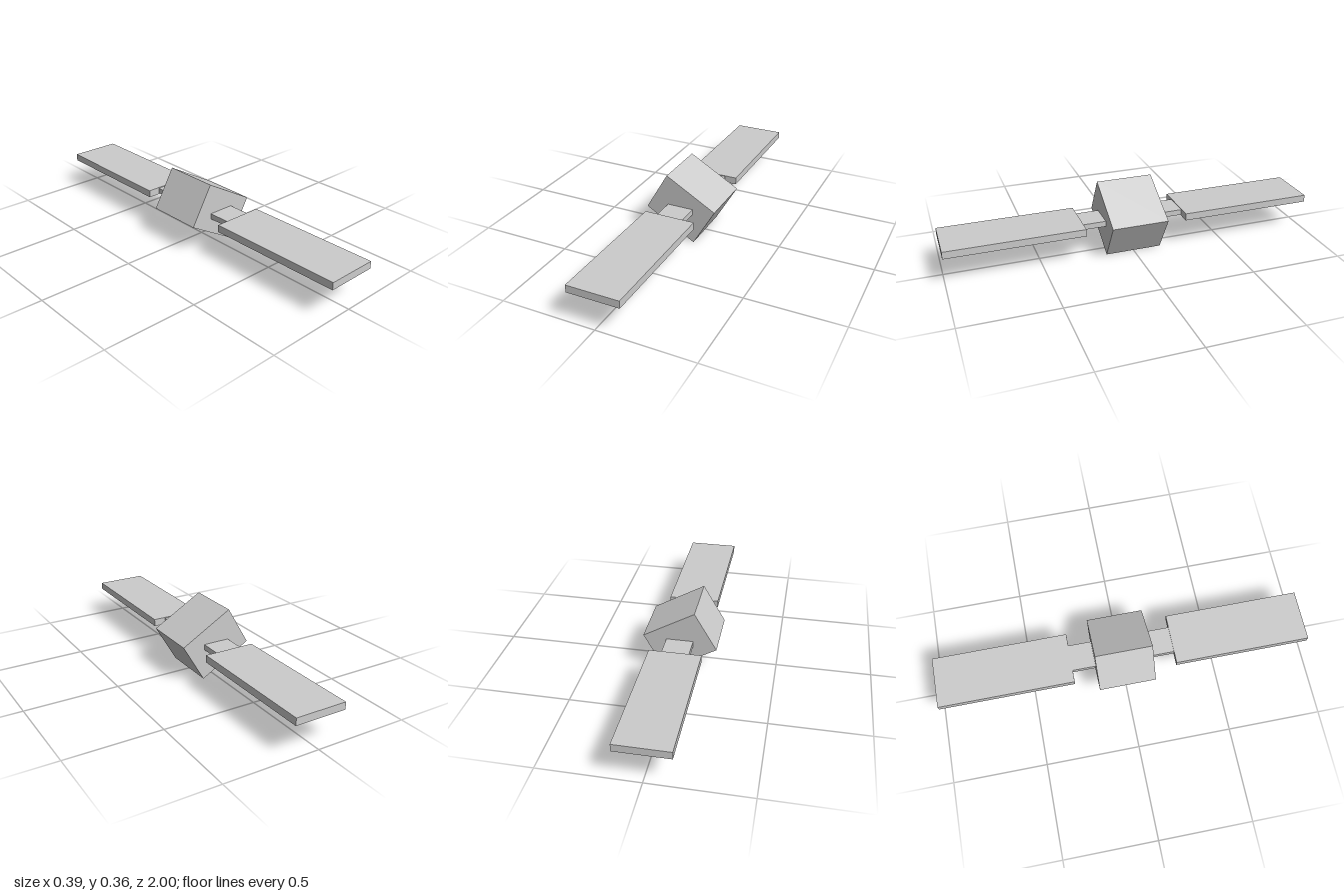
import * as THREE from 'three';

export function createModel() {
  const group = new THREE.Group();
  const material = new THREE.MeshStandardMaterial({ color: 0xcccccc, flatShading: true });
  const midY = 0.181;

  function addBox(name, width, height, depth, z) {
    const mesh = new THREE.Mesh(new THREE.BoxGeometry(width, height, depth), material);
    mesh.name = name;
    mesh.position.set(0, midY, z);
    group.add(mesh);
    return mesh;
  }

  // Central body, rolled about the long axis
  const body = addBox('body', 0.312, 0.235, 0.303, 0);
  body.rotation.z = -Math.PI / 6;

  // Mirrored connecting arms and flat panels
  for (const [side, s] of [['front', 1], ['back', -1]]) {
    addBox(side + 'Arm', 0.142, 0.03, 0.135, s * 0.2075);
    addBox(side + 'Panel', 0.273, 0.039, 0.725, s * 0.6375);
  }
  return group;
}
